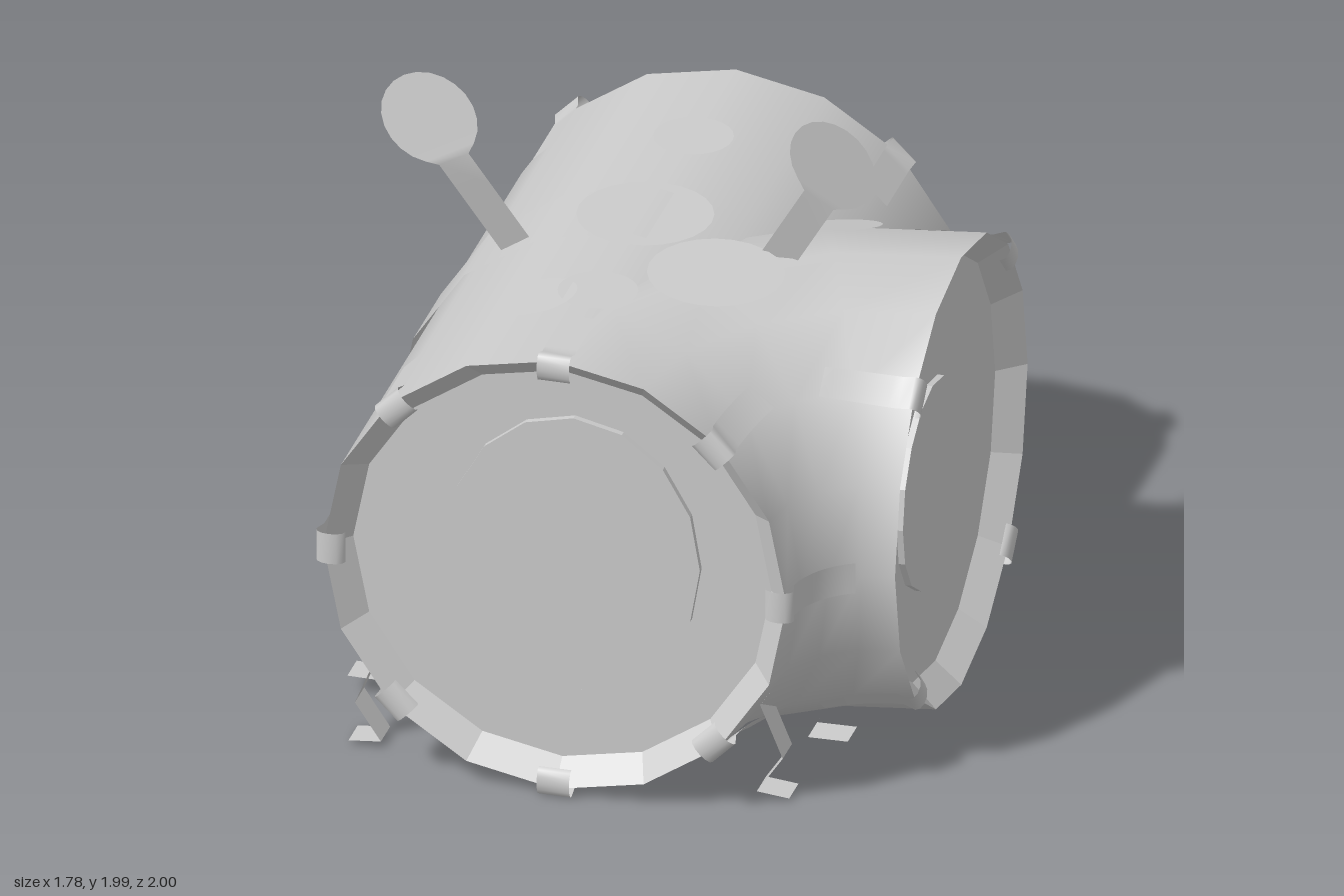
import * as THREE from 'three';

const CX = -0.11, CY = 0.745, R = 0.715, END = 0.975, SIDE = 0.865; // main axis, radius, end planes
const BEND = SIDE - CX;                                             // bend radius of the elbow
const smooth = new THREE.MeshStandardMaterial({ color: 0xcccccc, side: THREE.DoubleSide });
const flat = new THREE.MeshStandardMaterial({ color: 0xcccccc, side: THREE.DoubleSide, flatShading: true });

export function createModel() {
  const model = new THREE.Group();
  const add = (name, geo, mat = flat, parent = model) => {
    const m = new THREE.Mesh(geo, mat);
    m.name = name;
    parent.add(m);
    return m;
  };

  // open strip through pairs of points
  const ribbon = (pairs) => {
    const pos = [], idx = [];
    pairs.forEach(([a, b], i) => {
      pos.push(...a, ...b);
      if (i) idx.push(2 * i - 2, 2 * i - 1, 2 * i, 2 * i - 1, 2 * i + 1, 2 * i);
    });
    const g = new THREE.BufferGeometry();
    g.setAttribute('position', new THREE.Float32BufferAttribute(pos, 3));
    g.setIndex(idx);
    g.computeVertexNormals();
    return g;
  };

  // straight barrel
  const barrel = new THREE.CylinderGeometry(R, R, 2 * END, 16, 1, true).rotateX(Math.PI / 2);
  add('barrel', barrel, smooth).position.set(CX, CY, 0);

  // quarter bend from the front opening to the +x opening
  const elbow = new THREE.TorusGeometry(BEND, R, 16, 4, Math.PI / 2).rotateZ(Math.PI).rotateX(Math.PI / 2);
  add('elbow', elbow, smooth).position.set(SIDE, CY, END);

  // belt around the middle and plate on the side
  const belt = new THREE.CylinderGeometry(R + 0.015, R + 0.015, 0.3, 16, 1, true).rotateX(Math.PI / 2);
  add('belt', belt, smooth).position.set(CX, CY, 0);
  const plate = new THREE.CylinderGeometry(R + 0.018, R + 0.018, 1, 2, 1, true, -Math.PI / 2 - 0.14, 0.28);
  add('sidePlate', plate.rotateX(Math.PI / 2), smooth).position.set(CX, CY - 0.02, 0);

  // recessed ends, each with a slightly raised central disc
  const ends = [
    ['front', [CX, CY, END], [0, 0, 0], 0.39, 0.455, 0.04, 0.045],
    ['back', [CX, CY, -END], [0, Math.PI, 0], 0.33, 0.33, 0, 0],
    ['side', [SIDE, CY, 0], [0, Math.PI / 2, 0], 0.32, 0.325, -0.1, 0],
  ];
  for (const [name, p, rot, rx, ry, dx, dy] of ends) {
    const end = new THREE.Group();
    end.name = name + 'End';
    end.position.set(...p);
    end.rotation.set(...rot);
    model.add(end);
    const profile = [[0, -0.08], [0.645, -0.08], [R, 0]].map((q) => new THREE.Vector2(...q));
    add(name + 'Cap', new THREE.LatheGeometry(profile, 16).rotateX(Math.PI / 2), flat, end);
    const disc = add(name + 'Disc', new THREE.CylinderGeometry(1, 1, 0.02, 16).rotateX(Math.PI / 2), flat, end);
    disc.scale.set(rx, ry, 1);
    disc.position.set(dx, dy, -0.07);
  }

  // clips with a rounded hook over the rim: [radius, distance back from the end]
  const hook = [];
  for (let i = 0; i <= 8; i++) hook.push([R + 0.008, 0.28 - 0.03 * i]);
  for (let i = 0; i <= 6; i++) {
    const a = Math.PI * i / 6;
    hook.push([0.692 + 0.045 * Math.cos(a), 0.003 - 0.027 * Math.sin(a)]);
  }
  const straight = (s) => (u, v, t) => [CX + u, CY + v, s * (END - t)];

  // clip on the elbow: out = offset away from the bend centre. Returns distances along
  // both opening planes, lifted onto the curved surface
  const onBend = (out, v, t, bent) => {
    const d = BEND + out, a = t / d;
    const across = d * (1 - bent) + d * Math.cos(a) * bent;
    const along = t * (1 - bent) + d * Math.sin(a) * bent;
    const o = Math.hypot(across, along) - BEND;
    const lift = Math.sqrt(Math.max(0, out * out + v * v - o * o));
    return [across, CY + (bent === 1 ? v : Math.sign(v) * lift), along];
  };
  const bentFront = (bent) => (u, v, t) => {
    const [across, y, along] = onBend(-u, v, t, bent);
    return [SIDE - across, y, END - along];
  };
  const bentSide = (u, v, t) => {
    const [across, y, along] = onBend(u, v, t, 0.6);
    return [SIDE - along, y, END - across];
  };
  const clip = (name, k, place) => {
    const c = Math.cos(k * Math.PI / 4), s = Math.sin(k * Math.PI / 4);
    add(name, ribbon(hook.map(([r, t]) =>
      [-0.05, 0.05].map((w) => place(r * c - w * s, r * s + w * c, t)))), smooth);
  };
  for (let k = 0; k < 8; k++) {
    clip('frontClip', k, k === 0 ? bentFront(1) : k === 1 || k === 7 ? bentFront(0.6) : straight(1));
    if (k % 2) {
      clip('backClip', k, straight(-1));
      clip('sideClip', k, bentSide);
    }
  }

  // round spots lying on the top surface: x, z, radius, on the bend?
  const spots = [
    [CX, 0, 0.205, false], [0.195, 0.305, 0.205, true], [CX, -0.52, 0.12, false],
    [CX, 0.51, 0.12, false], [-0.28, 0.56, 0.12, false], [0.45, -0.17, 0.12, true],
  ];
  for (const [x, z, r, bent] of spots) {
    const n = new THREE.Vector3(x - CX, 0, 0);
    if (bent) {
      const out = new THREE.Vector3(x - SIDE, 0, z - END);
      const d = out.length();
      n.copy(out).multiplyScalar((d - BEND) / d);
    }
    n.y = Math.sqrt(R * R - n.lengthSq());
    const spot = add('spot', new THREE.CircleGeometry(r, 24));
    spot.position.set(x, CY + n.y + 0.006, z);
    spot.quaternion.setFromUnitVectors(new THREE.Vector3(0, 0, 1), n.normalize());
  }

  // antennae: stem and round tip, leaning through z with height
  const antenna = (name, base, neck, tip, r, zs) => {
    const b = new THREE.Vector2(...base), n = new THREE.Vector2(...neck), t = new THREE.Vector2(...tip);
    const rows = [0, 0.33, 0.66, 1].map((f) => [b.clone().lerp(n, f), 0.052, zs[0] + (zs[1] - zs[0]) * f]);
    const dir = t.clone().sub(n).normalize();
    for (let i = 1; i <= 10; i++) {
      const a = Math.PI * (0.11 + 0.089 * i);
      const f = (1 - Math.cos(a)) / 2;
      rows.push([t.clone().addScaledVector(dir, -r * Math.cos(a)), r * Math.sin(a), zs[1] + (zs[2] - zs[1]) * f]);
    }
    const side = n.clone().sub(b).normalize();
    add(name, ribbon(rows.map(([p, w, z]) =>
      [-w, w].map((k) => [p.x + k * side.y, p.y - k * side.x, z]))), smooth);
  };
  antenna('rightAntenna', [-0.48, 1.34], [-0.655, 1.65], [-0.738, 1.765], 0.146, [0.08, 0.16, 0.11]);
  antenna('leftAntenna', [0.31, 1.4], [0.49, 1.71], [0.54, 1.845], 0.145, [0.12, 0.225, 0.275]);

  // zigzag legs in two rows, alternate ones reaching further out
  const legPath = [[0.665, 0.43], [0.59, 0.32], [0.66, 0.15], [0.58, 0.03], [0.68, 0.02]];
  for (const s of [-1, 1]) {
    for (let i = 0; i < 6; i++) {
      const z = -0.775 + i * 0.31, reach = [1, 2, 4].includes(i) ? 1 : 0;
      add('leg', ribbon(legPath.map(([d, y], j) => {
        const x = CX + s * (d + reach * 0.023 * j), h = y + reach * 0.012 * j;
        return [[x, h, z - 0.05], [x, h, z + 0.05]];
      })));
    }
  }
  return model;
}
